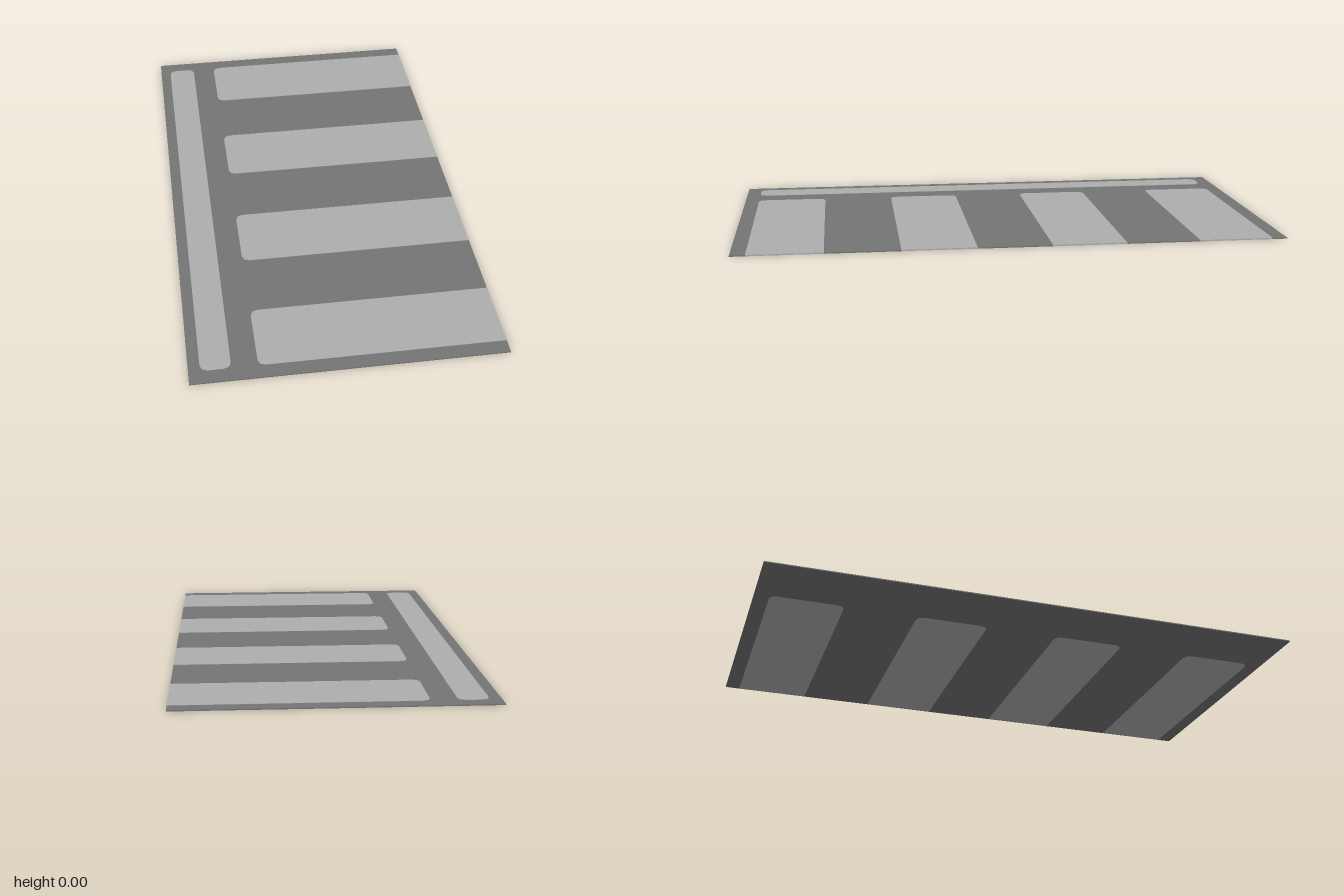
import * as THREE from 'three';

const HALF_X = 0.545, HALF_Z = 1, ROAD = 0.004, PAINT = 0.005;
const STRIPE_HALF = 0.135, STRIPE_X = -0.31, R = 0.025;
const stripeCentres = [-0.81, -0.27, 0.27, 0.81];

// Points of a quarter-round corner, from one angle to another
function corner(cx, cy, from, to) {
  return [0, 0.5, 1].map((t) => {
    const a = from + (to - from) * t;
    return new THREE.Vector2(cx + R * Math.cos(a), cy + R * Math.sin(a));
  });
}

// Inner end of a stripe, listed from its lower to its upper side
function stripeEnd(cy) {
  const x = STRIPE_X + R, h = STRIPE_HALF - R;
  return [
    ...corner(x, cy - h, Math.PI * 1.5, Math.PI),
    ...corner(x, cy + h, Math.PI, Math.PI / 2),
  ];
}

// Flat outline raised upward from a base height
function slab(name, points, base, top, material) {
  const geometry = new THREE.ExtrudeGeometry(new THREE.Shape(points), {
    depth: top - base, bevelEnabled: false,
  });
  geometry.rotateX(-Math.PI / 2).translate(0, base, 0);
  const mesh = new THREE.Mesh(geometry, material);
  mesh.name = name;
  return mesh;
}

export function createModel() {
  const asphalt = new THREE.MeshStandardMaterial({ color: 0x747474 });
  asphalt.name = 'asphalt grey';
  const paint = new THREE.MeshStandardMaterial({ color: 0xadadad });
  paint.name = 'marking grey';

  const model = new THREE.Group();
  model.name = 'roadCrossing';
  const v = (x, y) => new THREE.Vector2(x, y);

  // Road surface, notched along +x where the stripes pass through it
  const outline = [v(-HALF_X, HALF_Z), v(-HALF_X, -HALF_Z), v(HALF_X, -HALF_Z)];
  for (const c of stripeCentres) {
    outline.push(v(HALF_X, c - STRIPE_HALF), ...stripeEnd(c), v(HALF_X, c + STRIPE_HALF));
  }
  outline.push(v(HALF_X, HALF_Z));
  model.add(slab('roadSurface', outline, 0, ROAD, asphalt));

  // Crossing stripes, visible from above and below
  stripeCentres.forEach((c, i) => {
    const points = [v(HALF_X, c + STRIPE_HALF), ...stripeEnd(c).reverse(), v(HALF_X, c - STRIPE_HALF)];
    model.add(slab(`crossingStripe${i + 1}`, points, 0, PAINT, paint));
  });

  // Long stop line painted on the upper face only
  const x0 = -0.505 + R, x1 = -0.4 - R, y = 0.945 - R, q = Math.PI / 2;
  const line = [
    ...corner(x1, y, 0, q), ...corner(x0, y, q, 2 * q),
    ...corner(x0, -y, 2 * q, 3 * q), ...corner(x1, -y, 3 * q, 4 * q),
  ];
  model.add(slab('stopLine', line, ROAD, PAINT, paint));

  return model;
}
